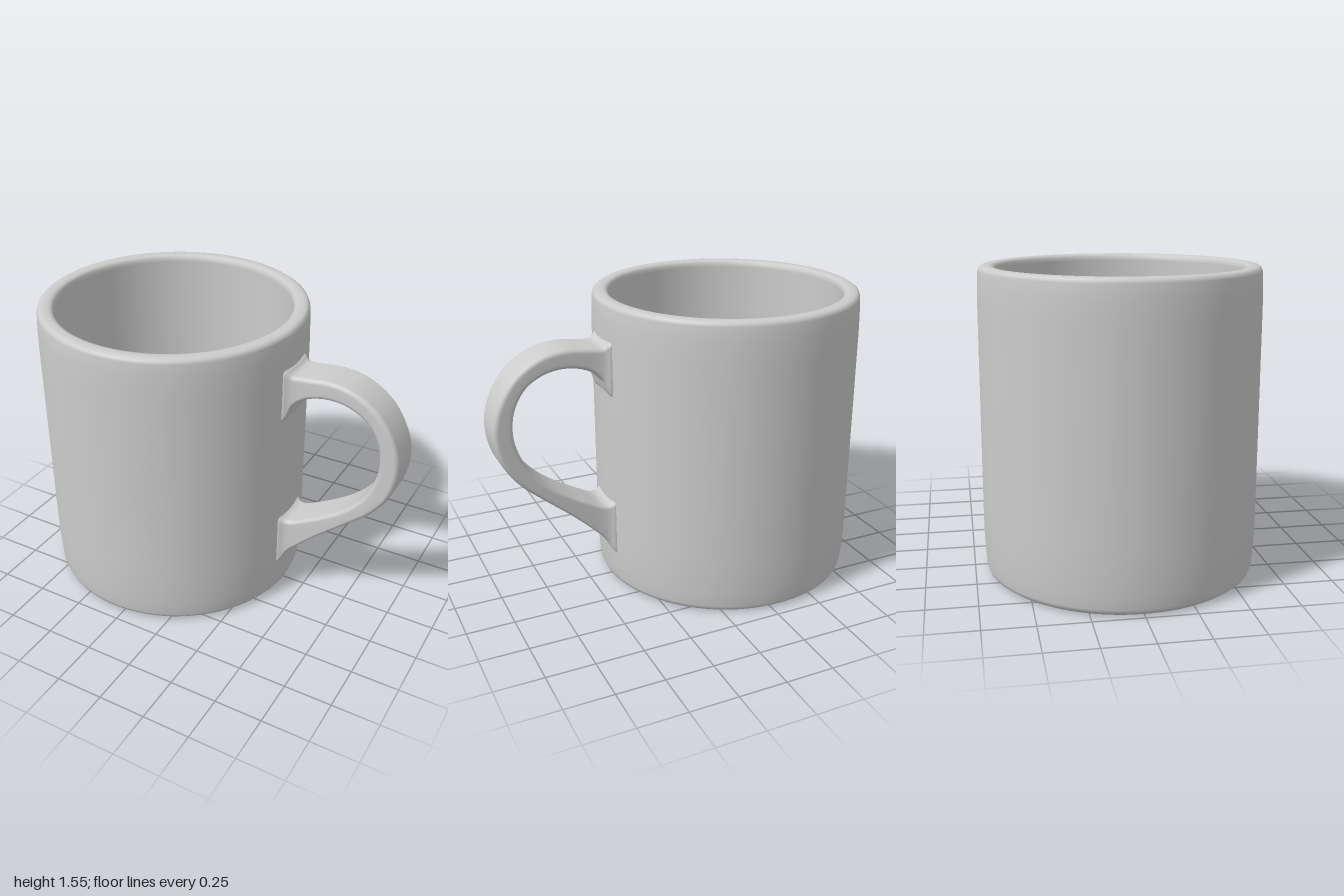
import * as THREE from 'three';

const material = new THREE.MeshStandardMaterial({ color: 0xcccccc });
const CENTRE_X = -0.3;

// Cup: outside wall, rounded rim, inside wall and dished floor in one profile
function createCup() {
  const profile = [
    [0, 0], [0.64, 0], [0.665, 0.003], [0.682, 0.016], [0.689, 0.035], [0.694, 0.1],
    [0.699, 0.2], [0.7, 0.32], [0.7, 1.35], [0.698, 1.45], [0.694, 1.525],
    [0.688, 1.54], [0.676, 1.548], [0.66, 1.55], [0.638, 1.55], [0.622, 1.546],
    [0.613, 1.535], [0.61, 1.515], [0.61, 0.3], [0.604, 0.22], [0.585, 0.16],
    [0.55, 0.118], [0.51, 0.1], [0.47, 0.096], [0, 0.096],
  ].map(([r, y]) => new THREE.Vector2(r, y));
  const cup = new THREE.Mesh(new THREE.LatheGeometry(profile, 96), material);
  cup.name = 'cup';
  cup.position.x = CENTRE_X;
  return cup;
}

const curve = (points) =>
  new THREE.CatmullRomCurve3(points.map(([x, y]) => new THREE.Vector3(x, y, 0)));

// Handle: rounded strap swept between an outer and an inner edge curve,
// flaring where it meets the wall
function createHandle() {
  const outer = curve([
    [0.36, 1.38], [0.40, 1.355], [0.425, 1.337], [0.5, 1.34], [0.62, 1.35], [0.75, 1.325],
    [0.88, 1.24], [0.97, 1.1], [1.0, 0.96], [0.968, 0.8], [0.88, 0.67], [0.75, 0.555],
    [0.62, 0.447], [0.51, 0.345], [0.43, 0.26], [0.405, 0.21], [0.36, 0.15],
  ]);
  const inner = curve([
    [0.36, 1.03], [0.405, 1.1], [0.43, 1.165], [0.5, 1.222], [0.61, 1.25], [0.72, 1.237],
    [0.82, 1.18], [0.882, 1.08], [0.9, 0.97], [0.885, 0.87], [0.83, 0.75], [0.74, 0.65],
    [0.64, 0.577], [0.54, 0.52], [0.445, 0.475], [0.405, 0.48], [0.36, 0.52],
  ]);
  const steps = 96, arc = 4, radius = 0.024;
  const positions = [], index = [];
  const ring = 4 * (arc + 1);

  for (let i = 0; i <= steps; i++) {
    const a = inner.getPoint(i / steps);
    const b = outer.getPoint(i / steps);
    const thickness = a.distanceTo(b);
    // Rounded rectangle: four corner arcs, side z towards the outer edge
    for (let corner = 0; corner < 4; corner++) {
      const sz = corner === 0 || corner === 3 ? 1 : -1;
      const sv = corner < 2 ? 1 : -1;
      for (let k = 0; k <= arc; k++) {
        const angle = (corner + k / arc) * Math.PI / 2;
        const v = sv * (thickness / 2 - radius) + radius * Math.sin(angle);
        const p = a.clone().lerp(b, 0.5 + v / thickness);
        const flare = 0.022 * Math.exp(-Math.max(p.x - 0.395, 0) / 0.025);
        const z = sz * (0.105 + flare - radius) + radius * Math.cos(angle);
        positions.push(p.x, p.y, z);
      }
    }
  }
  for (let i = 0; i < steps; i++) {
    for (let j = 0; j < ring; j++) {
      const p = i * ring + j, q = i * ring + (j + 1) % ring;
      index.push(p, p + ring, q + ring, p, q + ring, q);
    }
  }
  const geometry = new THREE.BufferGeometry();
  geometry.setAttribute('position', new THREE.Float32BufferAttribute(positions, 3));
  geometry.setIndex(index);
  geometry.computeVertexNormals();
  const handle = new THREE.Mesh(geometry, material);
  handle.name = 'handle';
  return handle;
}

export function createModel() {
  const mug = new THREE.Group();
  mug.name = 'mug';
  mug.add(createCup(), createHandle());
  return mug;
}
